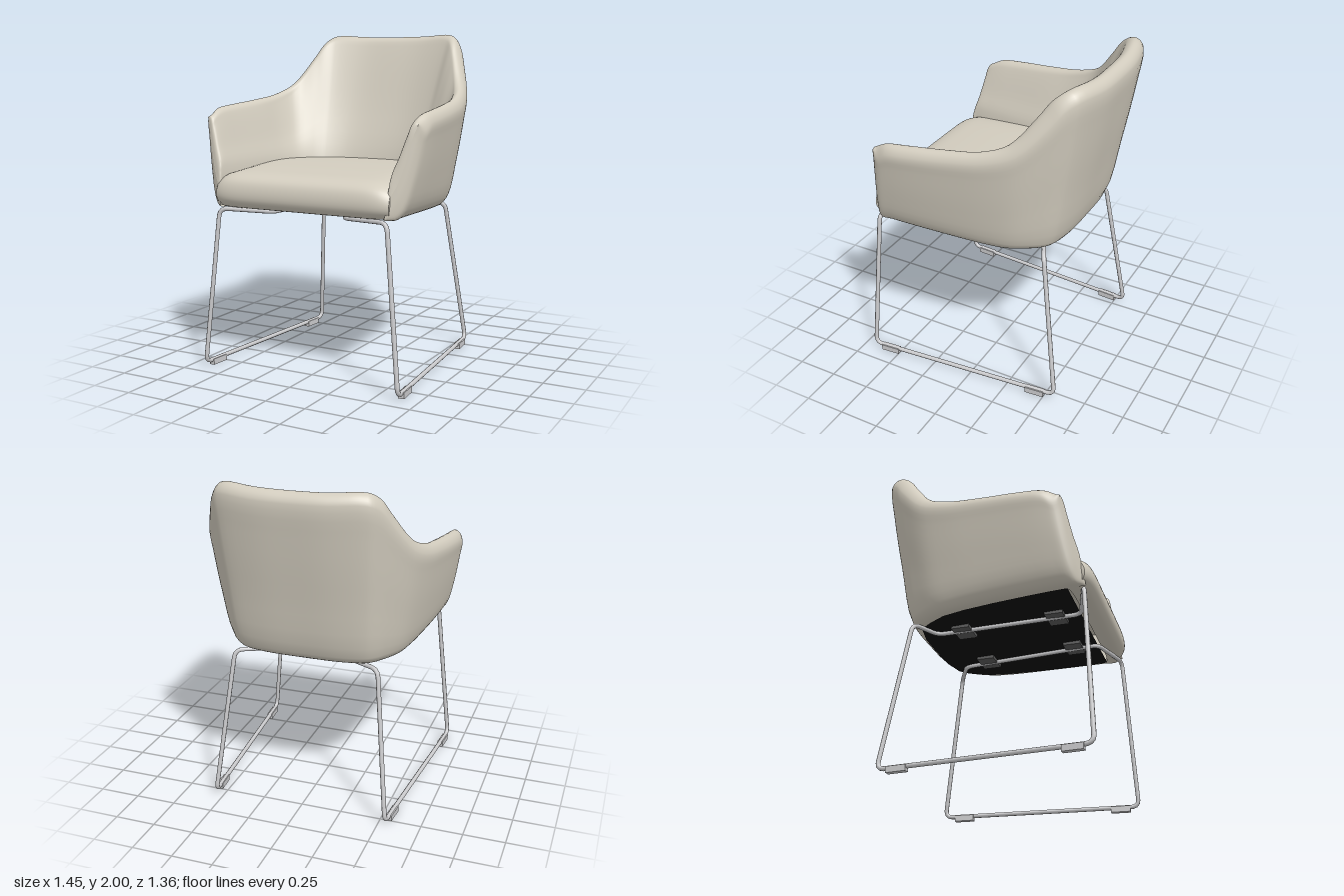
import * as THREE from 'three';

const V = (x, y, z) => new THREE.Vector3(x, y, z);

// Underside height: the seat rises a little toward the front
const baseY = (z) => 0.965 + 0.033 * z;

// Smooth surface from a grid of points; normal is (row direction) x (column direction)
function gridGeometry(rows) {
  const n = rows[0].length, pos = [], idx = [];
  rows.forEach((r) => r.forEach((p) => pos.push(p.x, p.y, p.z)));
  for (let i = 0; i < rows.length - 1; i++) {
    for (let j = 0; j < n - 1; j++) {
      const a = i * n + j, b = a + n;
      idx.push(a, b, a + 1, b, b + 1, a + 1);
    }
  }
  const g = new THREE.BufferGeometry();
  g.setAttribute('position', new THREE.Float32BufferAttribute(pos, 3));
  g.setIndex(idx);
  g.computeVertexNormals();
  return g;
}

// Half of the shell, back centre to arm front:
// outer bottom x,z | outer top x,z | top height | inner edge at seat x,z | rim thickness
const STATIONS = [
  [0, -0.48, 0, -0.68, 1.99, 0, -0.28, 0.12],
  [0.22, -0.475, 0.22, -0.672, 1.993, 0.19, -0.26, 0.12],
  [0.37, -0.445, 0.43, -0.622, 1.998, 0.31, -0.21, 0.12],
  [0.42, -0.41, 0.49, -0.565, 1.955, 0.35, -0.18, 0.12],
  [0.46, -0.36, 0.535, -0.5, 1.865, 0.385, -0.14, 0.12],
  [0.525, -0.25, 0.62, -0.34, 1.69, 0.43, -0.07, 0.11],
  [0.56, -0.1, 0.665, -0.17, 1.625, 0.46, 0.01, 0.105],
  [0.585, 0.1, 0.697, 0.05, 1.595, 0.485, 0.13, 0.105],
  [0.605, 0.35, 0.722, 0.3, 1.572, 0.515, 0.35, 0.105],
  [0.612, 0.5, 0.724, 0.43, 1.555, 0.535, 0.5, 0.1],
  [0.612, 0.575, 0.712, 0.495, 1.52, 0.548, 0.59, 0.09],
];

// Section of the shell wall: under the base, up the outside, over the rim, down the inside
function wallSection([obx, obz, otx, otz, top, ibx, ibz, th]) {
  const len = Math.hypot(ibx - otx, ibz - otz);
  const nx = (ibx - otx) / len, nz = (ibz - otz) / len;
  const yb = baseY(obz);
  const outer = (t, inset, y) =>
    V(obx + (otx - obx) * t + nx * inset, y, obz + (otz - obz) * t + nz * inset);
  const inner = (t, y) => {
    const a = outer(1, th, 0);
    return V(a.x + (ibx - a.x) * t, y, a.z + (ibz - a.z) * t);
  };
  const up = (f) => yb + (top - yb) * f;
  return [
    outer(0, th * 0.95, yb), outer(0, th * 0.35, yb + 0.006),
    outer(0.08, -th * 0.05, yb + 0.06), outer(0.45, -th * 0.12, up(0.4)),
    outer(0.82, -th * 0.08, up(0.75)), outer(1, 0, top - 0.06),
    outer(1, th * 0.2, top - 0.015), outer(1, th * 0.5, top),
    outer(1, th * 0.8, top - 0.018), outer(1, th, top - 0.06),
    inner(0.5, 1.17 + (top - 1.17) * 0.45), inner(0.92, 1.22), inner(1, 1.0),
  ];
}

// Rounded arm front: the last section closes onto its own middle line
function capSection(section, closing, forward) {
  return section.map((p, j) => {
    const middle = p.clone().add(section[section.length - 1 - j]).multiplyScalar(0.5);
    return p.clone().lerp(middle, closing).add(V(-0.2 * forward, 0, forward));
  });
}

function shellGeometry() {
  const half = STATIONS.map(wallSection);
  const end = half[half.length - 1];
  half.push(capSection(end, 0.35, 0.024), capSection(end, 1, 0.034));
  const mirrored = half.slice(1).map((s) => s.map((p) => V(-p.x, p.y, p.z)));
  const all = [...half.slice().reverse(), ...mirrored];
  const rails = all[0].map((_, j) => new THREE.CatmullRomCurve3(all.map((s) => s[j])));
  const rows = [];
  const N = 96;
  for (let i = 0; i <= N; i++) {
    const section = new THREE.CatmullRomCurve3(rails.map((c) => c.getPoint(i / N)));
    rows.push(section.getPoints(48));
  }
  return gridGeometry(rows);
}

// Cushion profile from the front underside over the top to the back: z, y, half width
const CUSHION = [
  [0.55, 0.983, 0.53], [0.63, 0.99, 0.55], [0.668, 1.03, 0.563], [0.673, 1.09, 0.567],
  [0.65, 1.15, 0.565], [0.59, 1.185, 0.562], [0.45, 1.203, 0.55], [0.2, 1.215, 0.52],
  [0, 1.217, 0.495], [-0.15, 1.215, 0.43], [-0.24, 1.213, 0.335], [-0.29, 1.212, 0.22],
  [-0.33, 1.21, 0.04],
];

function cushionGeometry() {
  const profile = new THREE.CatmullRomCurve3(CUSHION.map(([z, y, w]) => V(w, y, z))).getPoints(48);
  const rows = [];
  for (let i = 0; i <= 32; i++) {
    const u = Math.sin((i / 16 - 1) * Math.PI / 2);
    const edge = Math.abs(u) ** 10;
    rows.push(profile.map((p) => {
      const front = THREE.MathUtils.smoothstep(p.z, 0.45, 0.67);
      const high = THREE.MathUtils.smoothstep(p.y, 1.0, 1.18) * THREE.MathUtils.smoothstep(p.z, 0, 0.5);
      return V(p.x * u, p.y - 0.03 * edge * high, p.z - 0.035 * edge * front);
    }));
  }
  // Side walls closing the cushion ends
  const sideWall = (row) => row.map((p) => V(p.x * 0.985, 1.09, Math.min(p.z, 0.57)));
  return gridGeometry([sideWall(rows[0]), ...rows, sideWall(rows[32])]);
}

// Closed path of straight runs with rounded corners
function roundedLoop(points, r) {
  const path = new THREE.CurvePath();
  const n = points.length;
  const toward = (a, b) => a.clone().add(b.clone().sub(a).setLength(r));
  points.forEach((p, i) => {
    const prev = points[(i + n - 1) % n], next = points[(i + 1) % n];
    path.add(new THREE.QuadraticBezierCurve3(toward(p, prev), p, toward(p, next)));
    path.add(new THREE.LineCurve3(toward(p, next), toward(next, p)));
  });
  return path;
}

export function createModel() {
  const mat = (name, color, extra = {}) => {
    const m = new THREE.MeshStandardMaterial({ color, ...extra });
    m.name = name;
    return m;
  };
  const fabric = mat('beige fabric', 0xd3cdbf, { side: THREE.DoubleSide });
  const steel = mat('steel', 0xcdcdcf);
  const black = mat('black underside', 0x0f0f0f);
  const bracketGrey = mat('dark bracket', 0x5c5c5c);

  const chair = new THREE.Group();
  chair.name = 'armchair';
  const add = (parent, name, geo, material) => {
    const m = new THREE.Mesh(geo, material);
    m.name = name;
    parent.add(m);
    return m;
  };

  // Upholstery
  add(chair, 'shell', shellGeometry(), fabric);
  add(chair, 'seatCushion', cushionGeometry(), fabric);

  // Underside panel following the shell outline
  const side = STATIONS.map(([x, z]) => new THREE.Vector2(x * 0.89, z * 0.93));
  const outline = [...side, ...side.slice(1).reverse().map((p) => new THREE.Vector2(-p.x, p.y))];
  const panel = new THREE.ShapeGeometry(new THREE.Shape(outline));
  panel.rotateX(Math.PI / 2);
  const pp = panel.attributes.position;
  for (let i = 0; i < pp.count; i++) pp.setY(i, baseY(pp.getZ(i)) - 0.004);
  panel.computeVertexNormals();
  add(chair, 'undersidePanel', panel, black);

  // Sled frames, one per side
  for (const s of [1, -1]) {
    const frame = new THREE.Group();
    frame.name = s > 0 ? 'leftFrame' : 'rightFrame';
    chair.add(frame);
    const loop = roundedLoop([
      V(s * 0.55, 0.975, 0.63), V(s * 0.642, 0.03, 0.672), V(s * 0.545, 0.03, -0.565),
      V(s * 0.445, 0.94, -0.43), V(s * 0.26, 0.94, -0.34), V(s * 0.23, 0.965, 0.54),
    ], 0.05);
    add(frame, 'sledRod', new THREE.TubeGeometry(loop, 240, 0.0135, 8, true), steel);

    // Floor glides under the rod
    for (const [x, z] of [[0.634, 0.56], [0.557, -0.44]]) {
      const glide = add(frame, 'glide', new THREE.BoxGeometry(0.036, 0.036, 0.12), steel);
      glide.position.set(s * x, 0.018, z);
      glide.rotation.y = s * 0.078;
    }
    // Mounting plates under the seat
    for (const [x, z] of [[0.225, 0.39], [0.24, -0.18]]) {
      const plate = add(frame, 'mountingPlate', new THREE.BoxGeometry(0.16, 0.02, 0.11), bracketGrey);
      plate.position.set(s * x, baseY(z) - 0.012, z);
    }
  }
  return chair;
}
